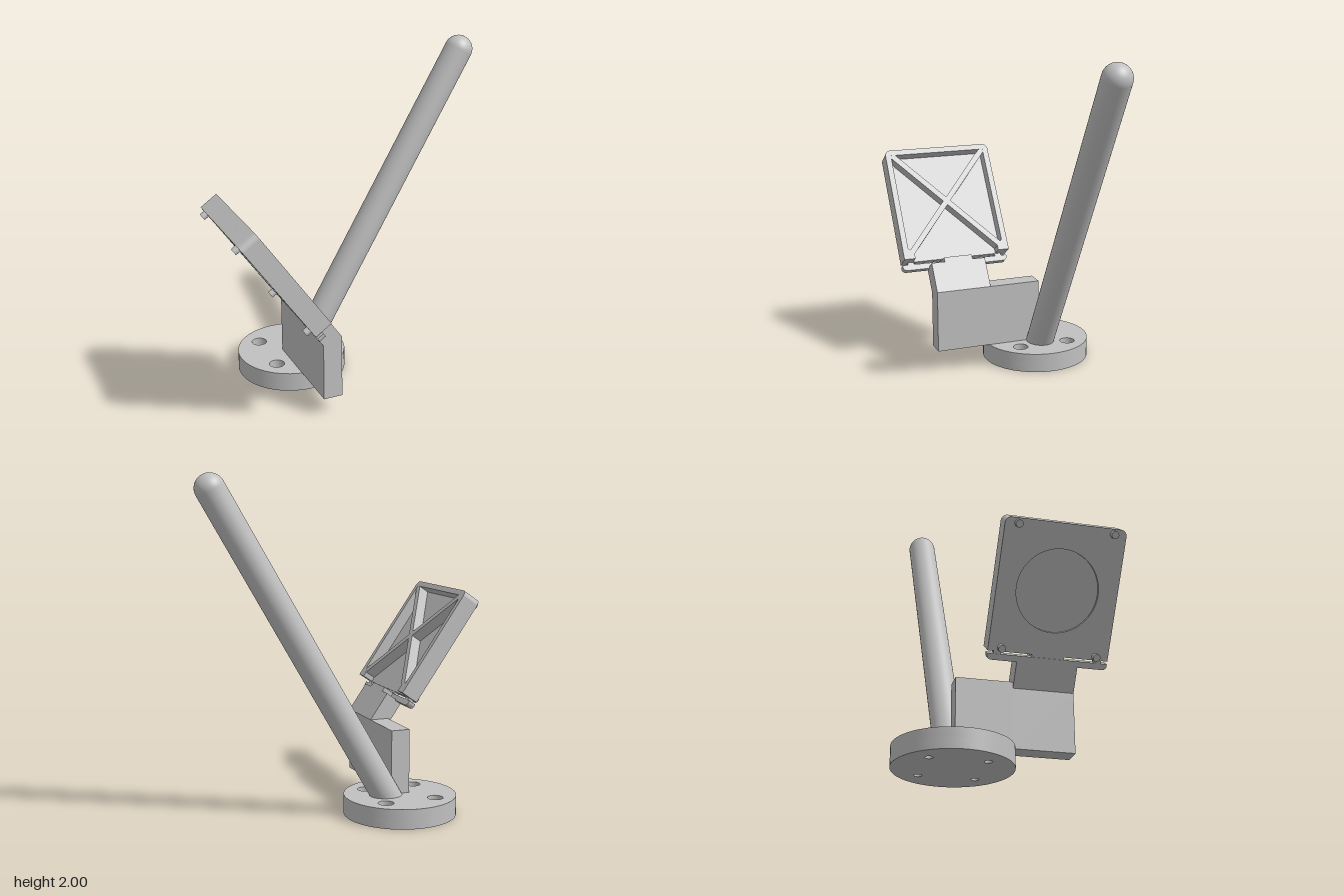
import * as THREE from 'three';
import { toCreasedNormals } from 'three/addons/utils/BufferGeometryUtils.js';

export function createModel() {
  const model = new THREE.Group();
  const grey = new THREE.MeshStandardMaterial({ color: 0xc0c0c0 });
  grey.name = 'light grey';

  const add = (parent, name, geometry, x = 0, y = 0, z = 0) => {
    const mesh = new THREE.Mesh(geometry, grey);
    mesh.name = name;
    mesh.position.set(x, y, z);
    parent.add(mesh);
    return mesh;
  };
  const box = (parent, name, x0, x1, y0, y1, z0, z1) =>
    add(parent, name, new THREE.BoxGeometry(x1 - x0, y1 - y0, z1 - z0),
      (x0 + x1) / 2, (y0 + y1) / 2, (z0 + z1) / 2);
  const extrude = (shape, depth) => toCreasedNormals(
    new THREE.ExtrudeGeometry(shape, { depth, bevelEnabled: false, curveSegments: 32 }), 0.6);
  const circle = (Type, x, y, r) => new Type().absarc(x, y, r, 0, Math.PI * 2);

  // Round base with four stepped screw holes
  const baseLayer = (name, y, height, holeRadius) => {
    const disc = circle(THREE.Shape, 0, 0, 0.333);
    for (const sx of [-1, 1]) for (const sz of [-1, 1])
      disc.holes.push(circle(THREE.Path, sx * 0.157, sz * 0.157, holeRadius));
    add(model, name, extrude(disc, height).rotateX(-Math.PI / 2), -0.305, y, -0.248);
  };
  baseLayer('baseLower', 0, 0.06, 0.022);
  baseLayer('baseUpper', 0.06, 0.057, 0.046);

  // Leaning pole with a domed tip
  const pole = new THREE.Group();
  pole.name = 'pole';
  pole.position.set(0.823, 1.915, -0.247);
  pole.rotation.z = -Math.PI / 6;
  model.add(pole);
  const poleLength = 2.14;
  add(pole, 'poleShaft', new THREE.CylinderGeometry(0.085, 0.085, poleLength, 48, 1, true), 0, -poleLength / 2);
  add(pole, 'poleTip', new THREE.SphereGeometry(0.085, 48, 16, 0, Math.PI * 2, 0, Math.PI / 2));

  // Upright bracket: plain rear part, and a front part bending into the arm
  box(model, 'bracketRear', -0.365, -0.25, 0.117, 0.5, -0.25, 0.07);
  const arm = new THREE.Shape([
    [-0.365, 0.117], [-0.25, 0.117], [-0.25, 0.5], [-0.36, 0.657], [-0.454, 0.591], [-0.365, 0.464],
  ].map(([x, y]) => new THREE.Vector2(x, y)));
  add(model, 'bracketArm', extrude(arm, 0.345), 0, 0, 0.07);

  // Tilted tray: local x faces out of the tray, y runs up its length
  const tray = new THREE.Group();
  tray.name = 'tray';
  tray.position.set(-0.385, 0.69, 0.24);
  tray.rotation.z = THREE.MathUtils.degToRad(35);
  model.add(tray);
  const W = 0.34, H = 0.73, R = 0.035;
  const slab = (name, shape, x0, x1) =>
    add(tray, name, extrude(shape, x1 - x0).rotateY(Math.PI / 2), x0);
  const outline = () => new THREE.Shape()
    .moveTo(-W, 0).lineTo(W, 0).lineTo(W, H - R)
    .absarc(W - R, H - R, R, 0, Math.PI / 2)
    .lineTo(-W + R, H)
    .absarc(-W + R, H - R, R, Math.PI / 2, Math.PI);

  // Floor with a shallow round recess in its back
  const backLayer = outline();
  backLayer.holes.push(circle(THREE.Path, 0, 0.36, 0.23));
  slab('trayBack', backLayer, -0.115, -0.1);
  slab('trayFloor', outline(), -0.1, -0.07);

  // Rim, open at the lower end between two corner stubs
  const I = W - 0.035, S = W - 0.07;
  const rim = new THREE.Shape()
    .moveTo(S, 0).lineTo(W, 0).lineTo(W, H - R)
    .absarc(W - R, H - R, R, 0, Math.PI / 2)
    .lineTo(-W + R, H)
    .absarc(-W + R, H - R, R, Math.PI / 2, Math.PI)
    .lineTo(-W, 0).lineTo(-S, 0).lineTo(-S, 0.03).lineTo(-I, 0.07)
    .lineTo(-I, H - 0.035).lineTo(I, H - 0.035).lineTo(I, 0.07).lineTo(S, 0.03);
  slab('trayRim', rim, -0.07, 0);

  // Crossed ribs
  for (const s of [-1, 1]) {
    const rib = add(tray, 'crossRib', new THREE.BoxGeometry(0.069, 0.9, 0.035), -0.0355, 0.36);
    rib.rotation.x = s * Math.atan2(0.3, 0.335);
  }

  // Lower bar with rounded outer corners, joined to the tray by clips
  const bar = new THREE.Shape()
    .moveTo(-W, -0.015).lineTo(-W, -0.025)
    .absarc(-W + 0.025, -0.025, 0.025, Math.PI, Math.PI * 1.5)
    .lineTo(W - 0.025, -0.05)
    .absarc(W - 0.025, -0.025, 0.025, -Math.PI / 2, 0)
    .lineTo(W, -0.015);
  slab('lowerBar', bar, -0.115, -0.07);
  for (const s of [-1, 1])
    box(tray, 'barClip', -0.113, -0.072, -0.03, 0.01, s * 0.285 - 0.02, s * 0.285 + 0.02);

  // Centre tab joining the arm to the tray
  box(tray, 'armTab', -0.075, 0, -0.06, -0.012, -0.09, 0.09);
  box(tray, 'tabLink', -0.11, -0.075, -0.06, 0.005, -0.09, 0.09);

  // Small round studs on the back corners
  for (const y of [0.02, 0.7]) for (const s of [-1, 1])
    add(tray, 'stud', new THREE.CylinderGeometry(0.021, 0.021, 0.035, 20).rotateZ(Math.PI / 2),
      -0.128, y, s * 0.267);

  return model;
}
